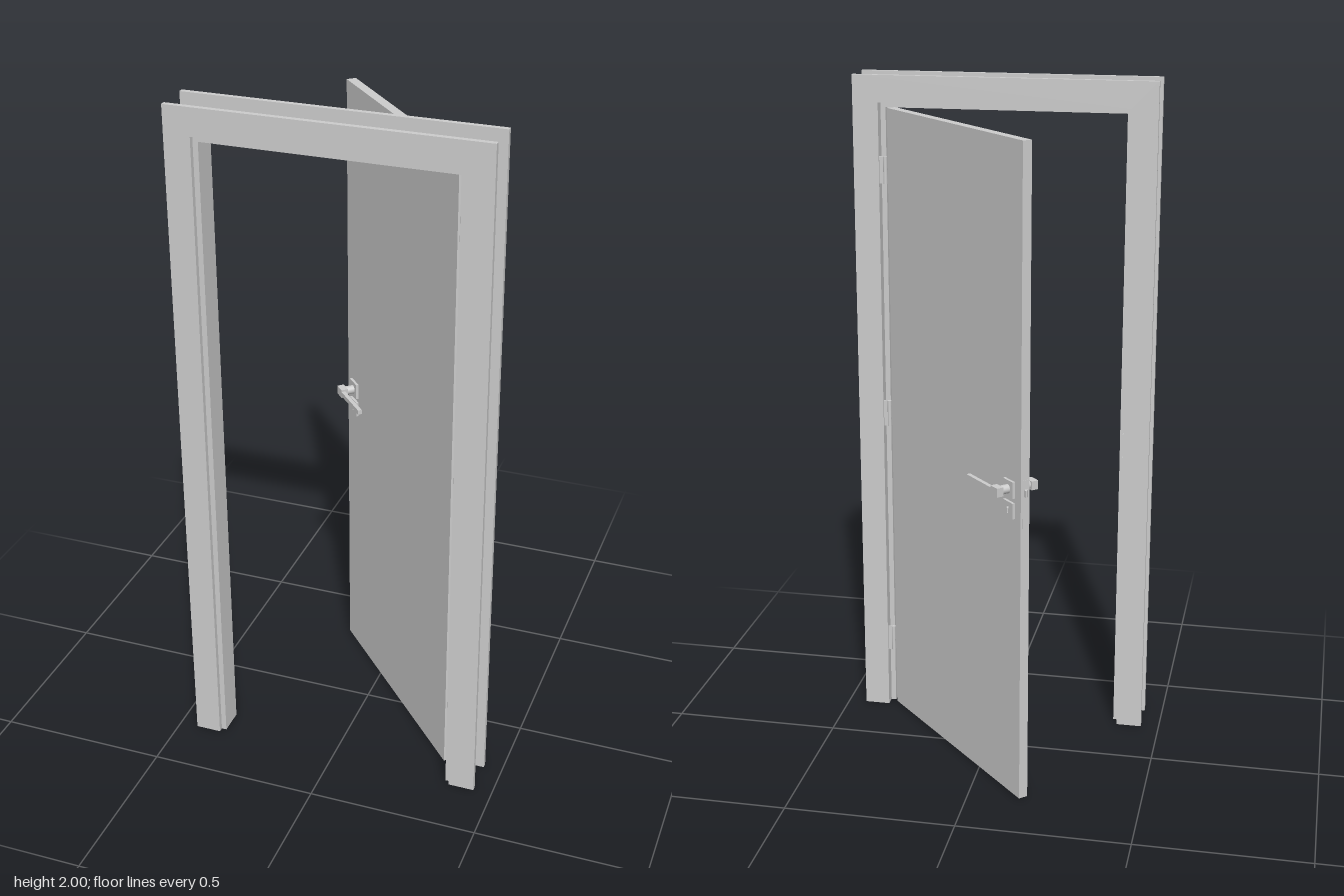
import * as THREE from 'three';

const mat = new THREE.MeshStandardMaterial({ color: 0xcccccc, flatShading: true });
const smooth = new THREE.MeshStandardMaterial({ color: 0xcccccc });

function add(parent, name, geo, x = 0, y = 0, z = 0, material = mat) {
  const m = new THREE.Mesh(geo, material);
  m.name = name;
  m.position.set(x, y, z);
  parent.add(m);
  return m;
}

// Box given by its limits on each axis
function block(parent, name, x0, x1, y0, y1, z0, z1) {
  return add(parent, name, new THREE.BoxGeometry(x1 - x0, y1 - y0, z1 - z0),
    (x0 + x1) / 2, (y0 + y1) / 2, (z0 + z1) / 2);
}

// Doorway-shaped surround: two legs and a head, extruded along z
function surround(parent, name, outX, outTop, inX, inTop, z0, z1) {
  const s = new THREE.Shape([
    [-outX, 0], [-inX, 0], [-inX, inTop], [inX, inTop],
    [inX, 0], [outX, 0], [outX, outTop], [-outX, outTop],
  ].map(([x, y]) => new THREE.Vector2(x, y)));
  add(parent, name, new THREE.ExtrudeGeometry(s, { depth: z1 - z0, bevelEnabled: false }), 0, 0, z0);
}

// Square plate with a keyhole cut through it
function keyPlate() {
  const s = new THREE.Shape();
  s.moveTo(-0.025, -0.023).lineTo(0.025, -0.023).lineTo(0.025, 0.023).lineTo(-0.025, 0.023).closePath();
  const h = new THREE.Path();
  h.moveTo(-0.003, -0.012).lineTo(-0.003, 0.003);
  h.absarc(0, 0.006, 0.005, Math.PI * 1.25, -Math.PI * 0.25, true);
  h.lineTo(0.003, -0.012).closePath();
  s.holes.push(h);
  return new THREE.ExtrudeGeometry(s, { depth: 0.008, bevelEnabled: false, curveSegments: 8 });
}

// Lever handle with its plates; local z = 0 is the door face, lever points to +x
function handle(name) {
  const g = new THREE.Group();
  g.name = name;
  block(g, 'handlePlate', -0.025, 0.025, 0.92, 0.968, 0, 0.008);
  const neck = add(g, 'handleNeck', new THREE.CylinderGeometry(0.013, 0.013, 0.026, 20), 0, 0.943, 0.021, smooth);
  neck.rotation.x = Math.PI / 2;
  block(g, 'leverHub', -0.017, 0.017, 0.93, 0.956, 0.032, 0.053);
  block(g, 'lever', 0.01, 0.146, 0.936, 0.95, 0.041, 0.053);
  add(g, 'keyPlate', keyPlate(), 0, 0.883, 0);
  return g;
}

export function createModel() {
  const model = new THREE.Group();
  model.name = 'doorway';

  // Frame: casings on both wall faces, lining and door stop between them
  const frame = new THREE.Group();
  frame.name = 'frame';
  model.add(frame);
  surround(frame, 'frontCasing', 0.445, 2, 0.369, 1.921, 0.31, 0.325);
  surround(frame, 'backCasing', 0.445, 2, 0.369, 1.921, 0.2, 0.215);
  surround(frame, 'rebateLining', 0.385, 1.94, 0.369, 1.921, 0.215, 0.232);
  surround(frame, 'stopLining', 0.385, 1.94, 0.354, 1.904, 0.232, 0.31);

  // Strike plate on the latch side
  block(frame, 'strikePlate', -0.369, -0.3675, 0.84, 0.98, 0.206, 0.228);
  for (const y of [0.87, 0.943]) block(frame, 'strikeLip', -0.369, -0.364, y - 0.013, y + 0.013, 0.211, 0.223);

  // Open door; its local origin is the back corner of the hinge edge
  const W = 0.732, T = 0.028;
  const door = new THREE.Group();
  door.name = 'door';
  door.position.set(0.3455, 0, 0.213);
  door.rotation.y = -0.823;
  model.add(door);
  block(door, 'doorLeaf', -W, 0, 0.005, 1.905, 0, T);

  // Handles on both faces
  const front = handle('frontHandle');
  front.position.set(-W + 0.055, 0, T);
  door.add(front);
  const back = handle('backHandle');
  back.position.set(-W + 0.055, 0, 0);
  back.scale.z = -1;
  door.add(back);

  // Latch plate and bevelled latch bolt
  block(door, 'latchPlate', -W - 0.001, -W, 0.84, 0.98, 0.005, 0.023);
  const wedge = new THREE.Shape([
    new THREE.Vector2(0, -0.009), new THREE.Vector2(0, -0.021),
    new THREE.Vector2(-0.004, -0.021), new THREE.Vector2(-0.013, -0.011), new THREE.Vector2(-0.013, -0.009),
  ]);
  const bolt = add(door, 'latchBolt',
    new THREE.ExtrudeGeometry(wedge, { depth: 0.02, bevelEnabled: false }), -W, 0.933, 0);
  bolt.rotation.x = -Math.PI / 2;

  // Three hinges: knuckle, leaf on the door edge, leaf on the frame
  for (const y of [0.23, 0.98, 1.725]) {
    add(model, 'hingeKnuckle', new THREE.CylinderGeometry(0.006, 0.006, 0.08, 16), 0.352, y, 0.208, smooth);
    block(door, 'hingeDoorLeaf', 0, 0.002, y - 0.04, y + 0.04, 0, 0.022);
    block(model, 'hingeFrameLeaf', 0.352, 0.369, y - 0.04, y + 0.04, 0.206, 0.209);
  }
  return model;
}
